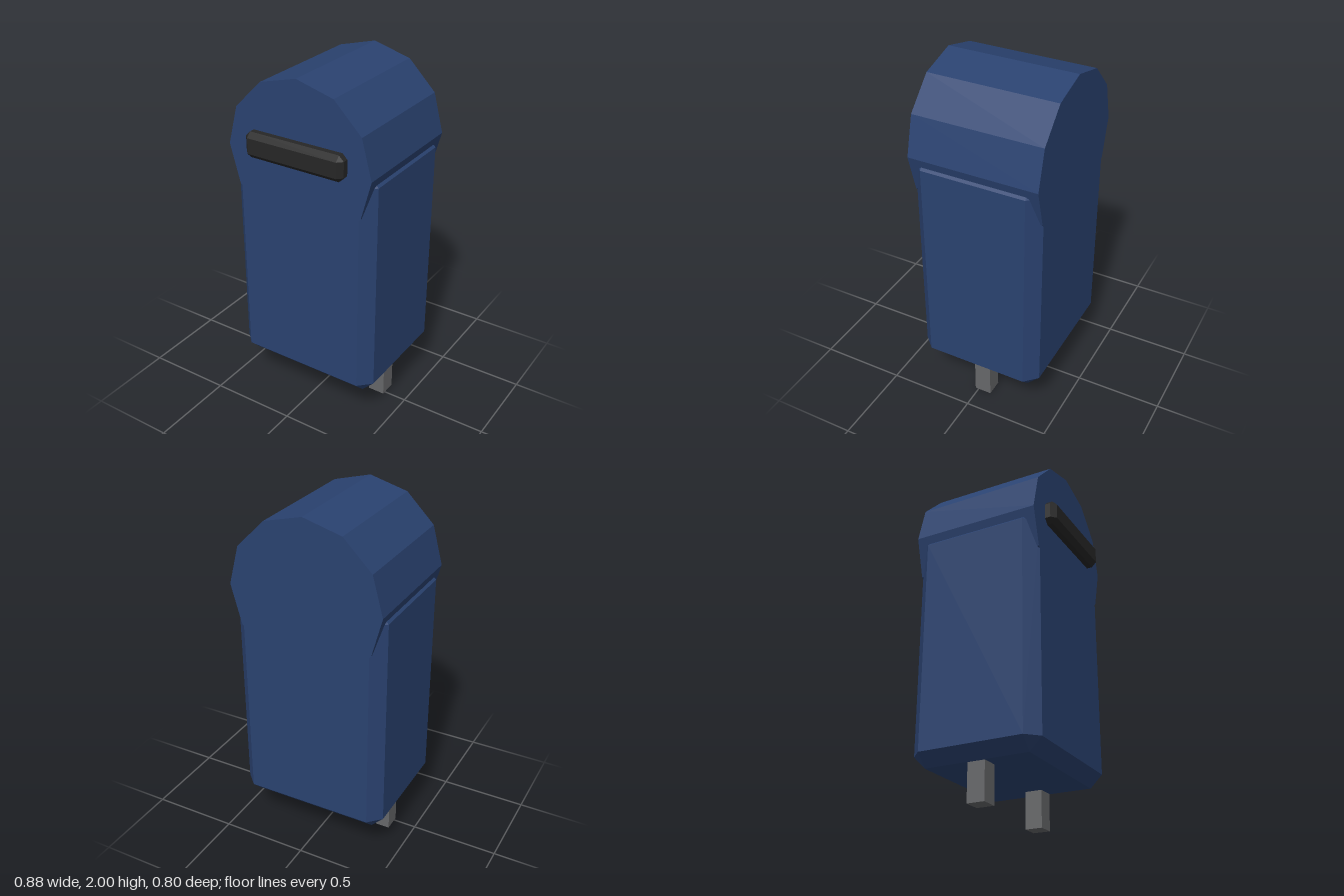
import * as THREE from 'three';
import { ConvexGeometry } from 'three/addons/geometries/ConvexGeometry.js';

const mat = (color) => new THREE.MeshStandardMaterial({ color, flatShading: true });

// Box with every edge cut at 45 degrees by c
function chamferBox(w, h, d, c) {
  const points = [];
  for (const sx of [-1, 1]) for (const sy of [-1, 1]) for (const sz of [-1, 1]) {
    for (let axis = 0; axis < 3; axis++) {
      const p = [w / 2 - c, h / 2 - c, d / 2 - c];
      p[axis] += c;
      points.push(new THREE.Vector3(sx * p[0], sy * p[1], sz * p[2]));
    }
  }
  return new ConvexGeometry(points);
}

export function createModel() {
  const group = new THREE.Group();
  const blue = mat(0x2a4270), black = mat(0x262626), grey = mat(0x666769);
  const midZ = -0.03;

  const add = (name, geometry, material, x, y, z) => {
    const mesh = new THREE.Mesh(geometry, material);
    mesh.name = name;
    mesh.position.set(x, y, z);
    group.add(mesh);
  };

  // Chamfered lower body
  add('body', chamferBox(0.88, 1.36, 0.74, 0.07), blue, 0, 0.89, midZ);

  // Twelve-sided barrel roof running front to back
  const roof = new THREE.CylinderGeometry(0.44, 0.44, 0.74, 12);
  roof.rotateX(Math.PI / 2);
  add('roof', roof, blue, 0, 1.56, midZ);

  // Letter slot on the front
  add('slot', chamferBox(0.6, 0.144, 0.12, 0.028), black, 0, 1.603, 0.34);

  // Two square legs
  for (const side of [1, -1]) {
    add(side > 0 ? 'leftLeg' : 'rightLeg', new THREE.BoxGeometry(0.1, 0.28, 0.1), grey, side * 0.315, 0.14, midZ);
  }
  return group;
}
